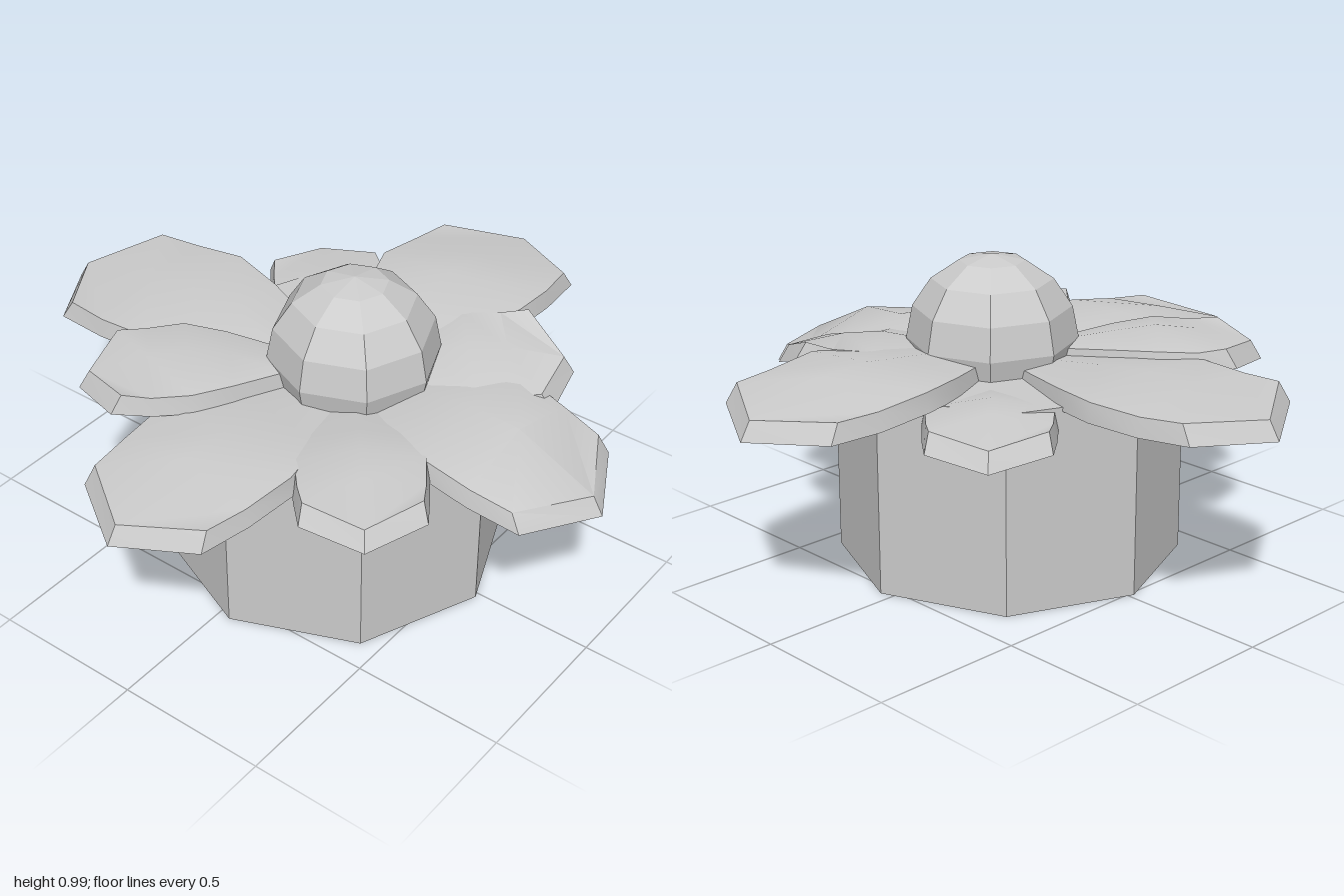
import * as THREE from 'three';
import { toCreasedNormals } from 'three/addons/utils/BufferGeometryUtils.js';

const flat = new THREE.MeshStandardMaterial({ color: 0xcccccc, flatShading: true });
const smooth = new THREE.MeshStandardMaterial({ color: 0xcccccc });

// One drooping petal growing along +x: cross-sections of six points
// (three on top, three below), joined row by row and capped at both ends.
function petalGeometry(length, size, crest, tip, roll) {
  const thick = 0.06;
  // distance back from the tip, half width, middle height, edge height, tip point ahead of corners
  const rows = [
    [0.88, 0.11, crest - 0.05, crest - 0.06, 0],
    [0.65, 0.22, crest - 0.02, crest - 0.04, 0],
    [0.47, 0.285, crest, crest - 0.03, 0],
    [0.3, 0.275, crest - 0.01, (crest + tip) / 2 - 0.01, 0],
    [0.13, 0.257, tip, tip + 0.025, 0.13],
  ];
  const pos = [], index = [];
  rows.forEach(([back, half, mid, edge, ahead], i) => {
    const x = Math.max(0.1, length - back * size);
    const w = half * size;
    const inset = i === rows.length - 1 ? 0.035 : 0;
    const lean = roll * (i / (rows.length - 1));
    const xt = x - inset, wt = w - 0.012, xm = x + ahead * size;
    pos.push(xt, edge - lean, -wt, xm - inset, mid, 0, xt, edge + lean, wt);
    pos.push(x, edge + lean - thick, w, xm, mid - thick, 0, x, edge - lean - thick, -w);
  });
  for (let r = 0; r < rows.length - 1; r++) {
    for (let k = 0; k < 6; k++) {
      const a = r * 6 + k, b = r * 6 + (k + 1) % 6;
      index.push(a, b, b + 6, a, b + 6, a + 6);
    }
  }
  const end = (rows.length - 1) * 6;
  for (const [a, b, c] of [[5, 0, 1], [5, 1, 4], [4, 1, 2], [4, 2, 3]]) {
    index.push(end + a, end + b, end + c, a, c, b);
  }
  const g = new THREE.BufferGeometry();
  g.setAttribute('position', new THREE.Float32BufferAttribute(pos, 3));
  g.setIndex(index);
  return toCreasedNormals(g, 0.6);
}

export function createModel() {
  const model = new THREE.Group();
  model.name = 'flower';

  // Eight-sided base
  const base = new THREE.Mesh(new THREE.CylinderGeometry(0.557, 0.557, 0.65, 8), flat);
  base.position.set(0.043, 0.325, 0.018);
  base.name = 'base';
  model.add(base);

  // Faceted dome in the middle of the bloom
  const dome = new THREE.Mesh(new THREE.SphereGeometry(0.275, 8, 8), flat);
  dome.position.set(0.08, 0.715, -0.02);
  dome.name = 'flowerCentre';
  model.add(dome);

  // Petals: tip offset x, z from the centre, size, crest height, tip height, sideways roll
  const petals = [
    [0.02, -0.98, 1, 0.745, 0.665, 0],
    [0.91, -0.01, 1, 0.7, 0.565, 0.01],
    [-0.12, 1.01, 1, 0.7, 0.605, -0.02],
    [-1.08, 0.1, 1, 0.735, 0.68, 0],
    [-0.57, -0.56, 0.72, 0.67, 0.615, 0],
    [0.53, -0.45, 0.72, 0.725, 0.67, -0.04],
    [0.52, 0.64, 0.72, 0.705, 0.66, 0],
    [-0.61, 0.6, 0.72, 0.76, 0.71, 0],
  ];
  for (const [x, z, size, crest, tip, roll] of petals) {
    const petal = new THREE.Mesh(petalGeometry(Math.hypot(x, z), size, crest, tip, roll), smooth);
    petal.position.set(0.08, 0, -0.02);
    petal.rotation.y = -Math.atan2(z, x);
    petal.name = size === 1 ? 'largePetal' : 'smallPetal';
    model.add(petal);
  }
  return model;
}
